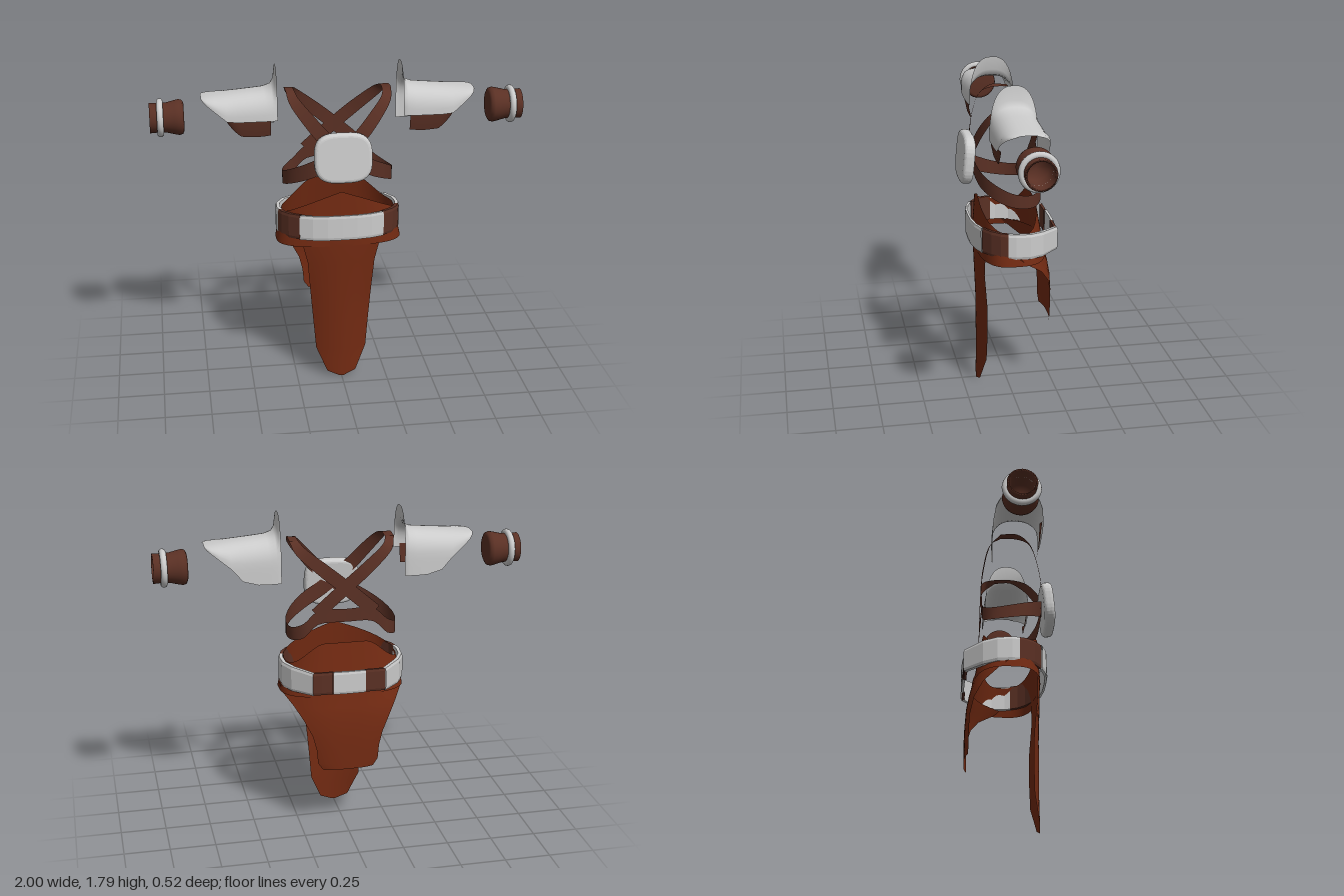
import * as THREE from 'three';

const mat = (color, extra = {}) => new THREE.MeshStandardMaterial({ color, side: THREE.DoubleSide, ...extra });
const metal = mat(0xcccccc);
const metalFlat = mat(0xcccccc, { flatShading: true });
const leather = mat(0x5a3024);
const leatherFlat = mat(0x5a3024, { flatShading: true });
const cloth = mat(0x722a12);
const V = (x, y, z) => new THREE.Vector3(x, y, z);
const { lerp, smoothstep } = THREE.MathUtils;

// Surface through rows of points, all rows the same length
function sheet(rows) {
  const n = rows[0].length, index = [];
  for (let i = 0; i < rows.length - 1; i++)
    for (let j = 0; j < n - 1; j++) {
      const a = i * n + j, b = a + n;
      index.push(a, b, a + 1, b, b + 1, a + 1);
    }
  const g = new THREE.BufferGeometry().setFromPoints(rows.flat());
  g.setIndex(index);
  g.computeVertexNormals();
  return g;
}

// Piecewise linear lookup in a list of [key, value, value...] with rising keys
function lookup(table, key) {
  let i = 0;
  while (i < table.length - 2 && key > table[i + 1][0]) i++;
  const t = Math.min(1, Math.max(0, (key - table[i][0]) / (table[i + 1][0] - table[i][0])));
  return table[i].map((v, k) => lerp(v, table[i + 1][k], t));
}

// Flat band through stations [x, y, z, dx, dy]; dx, dy is half the width
function ribbon(stations, side) {
  const edge = k => new THREE.CatmullRomCurve3(
    stations.map(([x, y, z, dx, dy]) => V(side * (x + k * dx), y + k * dy, z))).getPoints(48);
  return sheet([edge(1), edge(-1)]);
}

export function createModel() {
  const model = new THREE.Group();
  const add = (name, geometry, material, parent = model) => {
    const m = new THREE.Mesh(geometry, material);
    m.name = name;
    parent.add(m);
    return m;
  };

  // Waist wrap: rounded ring with a raised front and back edge
  const waist = [];
  for (let i = 0; i <= 72; i++) {
    const a = i / 72 * Math.PI * 2, c = Math.cos(a), s = Math.sin(a);
    const ux = Math.sign(s) * Math.abs(s) ** 0.7, uz = Math.sign(c) * Math.abs(c) ** 0.7;
    const ax = Math.abs(ux);
    const top = uz > 0 ? 0.97 + 0.14 * (1 - ax) ** 0.75 : 0.97 + 0.12 * (1 - smoothstep(ax, 0.35, 1));
    const column = [];
    for (let k = 0; k <= 6; k++) {
      const t = k / 6;
      column.push(V(ux * lerp(0.345, 0.31, t), lerp(0.8, top, t),
        uz * (uz > 0 ? lerp(0.17, 0.155, t) : lerp(0.2, 0.15, t))));
    }
    waist.push(column);
  }
  add('waistWrap', sheet(waist), cloth);

  // Hanging cloth: stations [y, half width, centre z, edge z]
  const flap = (stations, power) => sheet(stations.map(([y, w, zc, ze]) =>
    Array.from({ length: 17 }, (_, i) => {
      const u = i / 8 - 1;
      return V(u * w, y, lerp(zc, ze, Math.abs(u) ** power));
    })));
  add('frontCloth', flap([
    [0.84, 0.23, 0.17, 0.145], [0.8, 0.21, 0.172, 0.145], [0.7, 0.185, 0.17, 0.145],
    [0.5, 0.168, 0.165, 0.128], [0.35, 0.155, 0.165, 0.125], [0.17, 0.14, 0.165, 0.13],
    [0.1, 0.11, 0.166, 0.145], [0.03, 0.08, 0.168, 0.158], [0, 0.01, 0.168, 0.168]], 2), cloth);
  add('backCloth', flap([
    [0.84, 0.343, -0.2, -0.02], [0.8, 0.335, -0.205, -0.07], [0.74, 0.285, -0.22, -0.15],
    [0.67, 0.24, -0.232, -0.195], [0.58, 0.195, -0.238, -0.217], [0.5, 0.175, -0.24, -0.22],
    [0.42, 0.168, -0.24, -0.22], [0.38, 0.14, -0.24, -0.222]], 3), cloth);

  // Belt panels around the waist: plan points per panel
  const panels = [
    ['frontPlate', metalFlat, [[0, 0.212], [0.08, 0.21], [0.16, 0.197], [0.23, 0.17]]],
    ['frontBand', leatherFlat, [[0.23, 0.165], [0.285, 0.125], [0.32, 0.08], [0.335, 0.035]]],
    ['sidePlate', metalFlat, [[0.335, 0.04], [0.343, 0], [0.338, -0.08], [0.3, -0.155], [0.2, -0.255]]],
    ['backBand', leatherFlat, [[0.2, -0.25], [0.15, -0.252], [0.09, -0.252]]],
    ['backPlate', metalFlat, [[0.09, -0.258], [0, -0.26]]],
  ];
  const section = [[0.93, -0.07], [0.985, -0.07], [1, -0.055], [1, 0.055], [0.985, 0.07], [0.93, 0.07], [0.93, -0.07]];
  const belt = new THREE.Group();
  belt.name = 'belt';
  model.add(belt);

  // Rounded chest plate, leaning slightly
  const outline = Array.from({ length: 40 }, (_, i) => {
    const a = i / 40 * Math.PI * 2, c = Math.cos(a), s = Math.sin(a);
    return new THREE.Vector2(Math.sign(c) * Math.abs(c) ** 0.6 * 0.135, Math.sign(s) * Math.abs(s) ** 0.6 * 0.115);
  });
  const plateGeo = new THREE.ExtrudeGeometry(new THREE.Shape(outline),
    { depth: 0.02, bevelSize: 0.02, bevelThickness: 0.02, bevelSegments: 4 });
  const plate = add('chestPlate', plateGeo.translate(0, 0, -0.01), metal);
  plate.position.set(0, 1.325, 0.218);
  plate.rotation.x = -0.1;

  // Shoulder guard: [x, top, lower edge, half width]
  const guard = [
    [0.335, 1.79, 1.43, 0.125], [0.343, 1.715, 1.43, 0.13], [0.36, 1.683, 1.43, 0.133],
    [0.4, 1.668, 1.43, 0.135], [0.46, 1.662, 1.432, 0.135], [0.54, 1.655, 1.455, 0.135],
    [0.6, 1.65, 1.525, 0.134], [0.66, 1.645, 1.575, 0.125], [0.7, 1.641, 1.605, 0.105],
    [0.72, 1.638, 1.62, 0.08], [0.73, 1.636, 1.63, 0.05]];
  const guardRow = ([x, top, low, w], side) => {
    const base = Math.max(1.52, low), row = [V(side * x, low, 0.015 - w), V(side * x, (low + base) / 2, 0.015 - w)];
    for (let i = 0; i <= 20; i++) {
      const a = i / 20 * Math.PI, c = Math.cos(a);
      row.push(V(side * x, base + (top - base) * Math.sin(a) ** 0.8, 0.015 - w * Math.sign(c) * Math.abs(c) ** 0.8));
    }
    return row;
  };
  const flapEdge = [[0.37, 1.437], [0.41, 1.432], [0.46, 1.43], [0.53, 1.437], [0.57, 1.475], [0.605, 1.525]];

  // Wrist cuff profile, closed towards the arm and open at the hand
  const cuff = [[0, 0.82], [0.075, 0.82], [0.09, 0.828], [0.095, 0.845], [0.09, 0.87], [0.08, 0.91], [0.077, 0.95],
    [0.08, 1], [0.068, 1], [0.066, 0.87], [0, 0.87]].map(([r, h]) => new THREE.Vector2(r, h));

  for (const side of [1, -1]) {
    const label = side > 0 ? 'left' : 'right';

    for (const [name, material, plan] of panels)
      add(label + name[0].toUpperCase() + name.slice(1), sheet(plan.map(([x, z]) =>
        section.map(([k, h]) => V(side * x * k, 0.91 + z * 0.05 + h * (z < -0.2 ? 0.9 : 1), z * k)))), material, belt);

    // Crossed straps: front one runs shoulder, chest, opposite flank, back
    add(label + 'FrontStrap', ribbon([
      [0.26, 1.642, -0.06, 0.024, 0], [0.258, 1.645, 0.03, 0.024, 0.002], [0.245, 1.61, 0.1, 0.025, -0.012],
      [0.18, 1.525, 0.15, 0.027, -0.022], [0.08, 1.41, 0.183, 0.025, -0.03], [-0.06, 1.3, 0.185, 0.015, -0.04],
      [-0.17, 1.24, 0.16, 0.005, -0.045], [-0.26, 1.19, 0.09, 0, -0.042], [-0.3, 1.155, 0, 0, -0.038],
      [-0.285, 1.145, -0.1, 0, -0.036], [-0.23, 1.17, -0.15, 0, -0.04],
      [-0.15, 1.24, -0.156, 0, -0.038], [0, 1.245, -0.156, 0, -0.036]], side), leather);
    add(label + 'BackStrap', ribbon([
      [0.26, 1.642, -0.06, 0.024, 0], [0.235, 1.6, -0.115, 0.025, -0.015], [0.12, 1.5, -0.15, 0.024, -0.026],
      [0, 1.4, -0.157, 0.024, -0.028], [-0.16, 1.26, -0.157, 0.024, -0.028]], side), leather);

    add(label + 'ShoulderGuard', sheet(guard.map(g => guardRow(g, side))), metal);
    const flapRows = Array.from({ length: 13 }, (_, i) => {
      const [x, low] = lookup(flapEdge, lerp(0.37, 0.605, i / 12));
      return [0, 0.5, 1].map(t => V(side * x, lerp(1.54, low, t), 0.142 - 0.015 * t * t));
    });
    add(label + 'ShoulderFlap', sheet(flapRows), leather);

    // Wrist cuff with its ring
    const wrist = new THREE.Group();
    wrist.name = label + 'Wrist';
    wrist.position.set(0, 1.52, 0.005);
    wrist.rotation.z = -side * Math.PI / 2;
    model.add(wrist);
    add('cuff', new THREE.LatheGeometry(cuff, 32), leather, wrist);
    const ring = add('cuffRing', new THREE.TorusGeometry(0.085, 0.018, 10, 32), metal, wrist);
    ring.rotation.x = Math.PI / 2;
    ring.position.y = 0.945;
  }
  return model;
}
